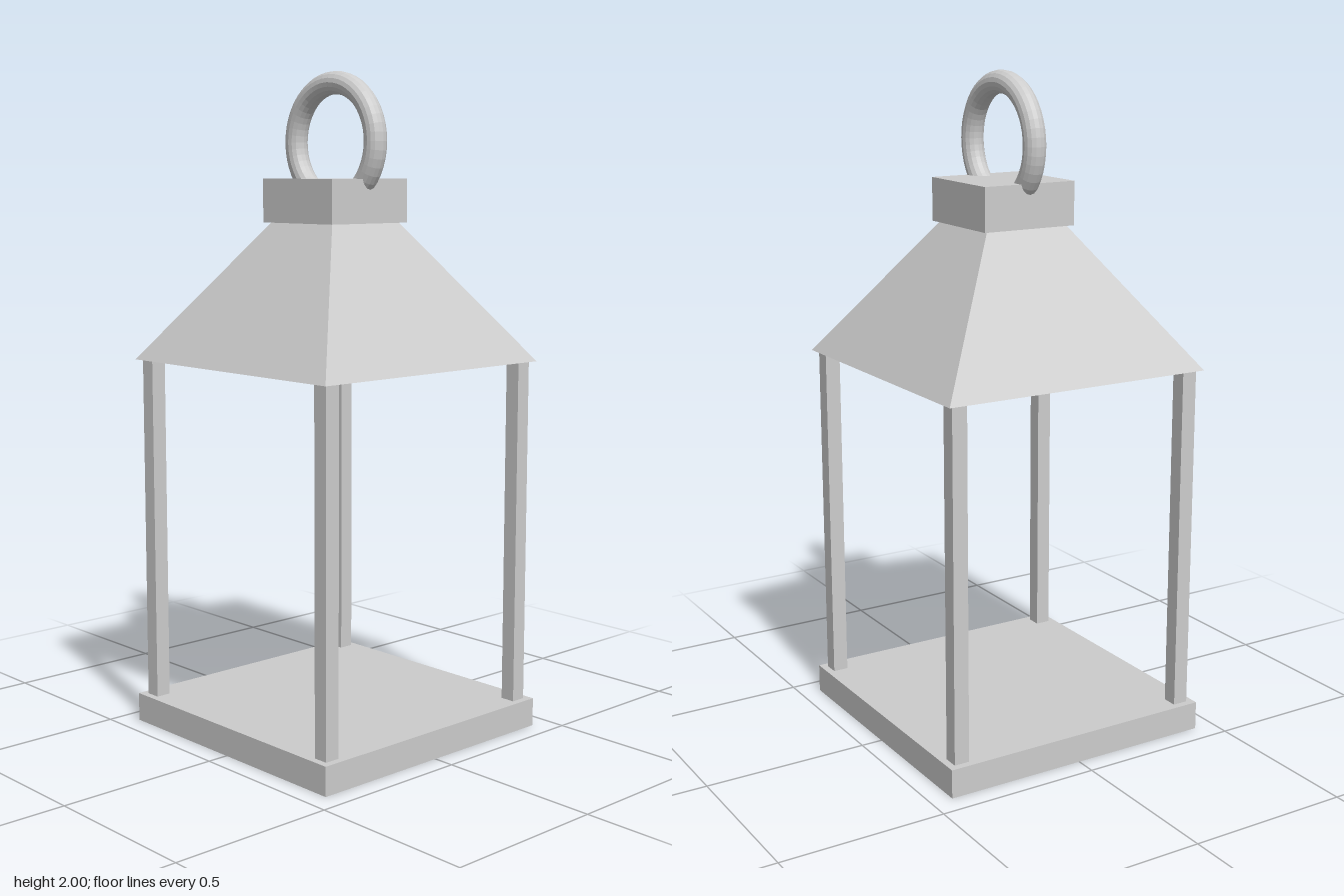
import * as THREE from 'three';

export function createModel() {
  const group = new THREE.Group();
  const metal = new THREE.MeshStandardMaterial({ color: 0xcccccc });
  metal.name = 'grey metal';

  // Gives every face its own flat normal
  const faceted = (geometry) => {
    const flat = geometry.toNonIndexed();
    flat.computeVertexNormals();
    return flat;
  };

  const add = (name, geometry, x, y, z) => {
    const mesh = new THREE.Mesh(geometry, metal);
    mesh.name = name;
    mesh.position.set(x, y, z);
    group.add(mesh);
  };

  // A box between two heights
  const addBox = (name, width, bottom, top, x = 0, z = 0) =>
    add(name, new THREE.BoxGeometry(width, top - bottom, width), x, (bottom + top) / 2, z);

  // Base slab and four corner posts
  addBox('base', 0.87, 0, 0.087);
  for (const x of [-1, 1]) {
    for (const z of [-1, 1]) {
      addBox('cornerPost', 0.047, 0.087, 1.14, x * 0.39, z * 0.39);
    }
  }

  // Tapered square roof with a closed underside
  const roof = new THREE.CylinderGeometry(0.135 * Math.SQRT2, 0.43 * Math.SQRT2, 0.415, 4);
  roof.rotateY(Math.PI / 4);
  add('roof', faceted(roof), 0, 1.3475, 0);

  // Cap block on the roof
  addBox('cap', 0.304, 1.555, 1.685);

  // Hanging ring, its lower part sunk into the cap
  const ring = new THREE.TorusGeometry(0.173, 0.034, 16, 48);
  ring.rotateY(Math.PI / 2);
  add('hangingRing', faceted(ring), 0, 1.793, 0);

  return group;
}
